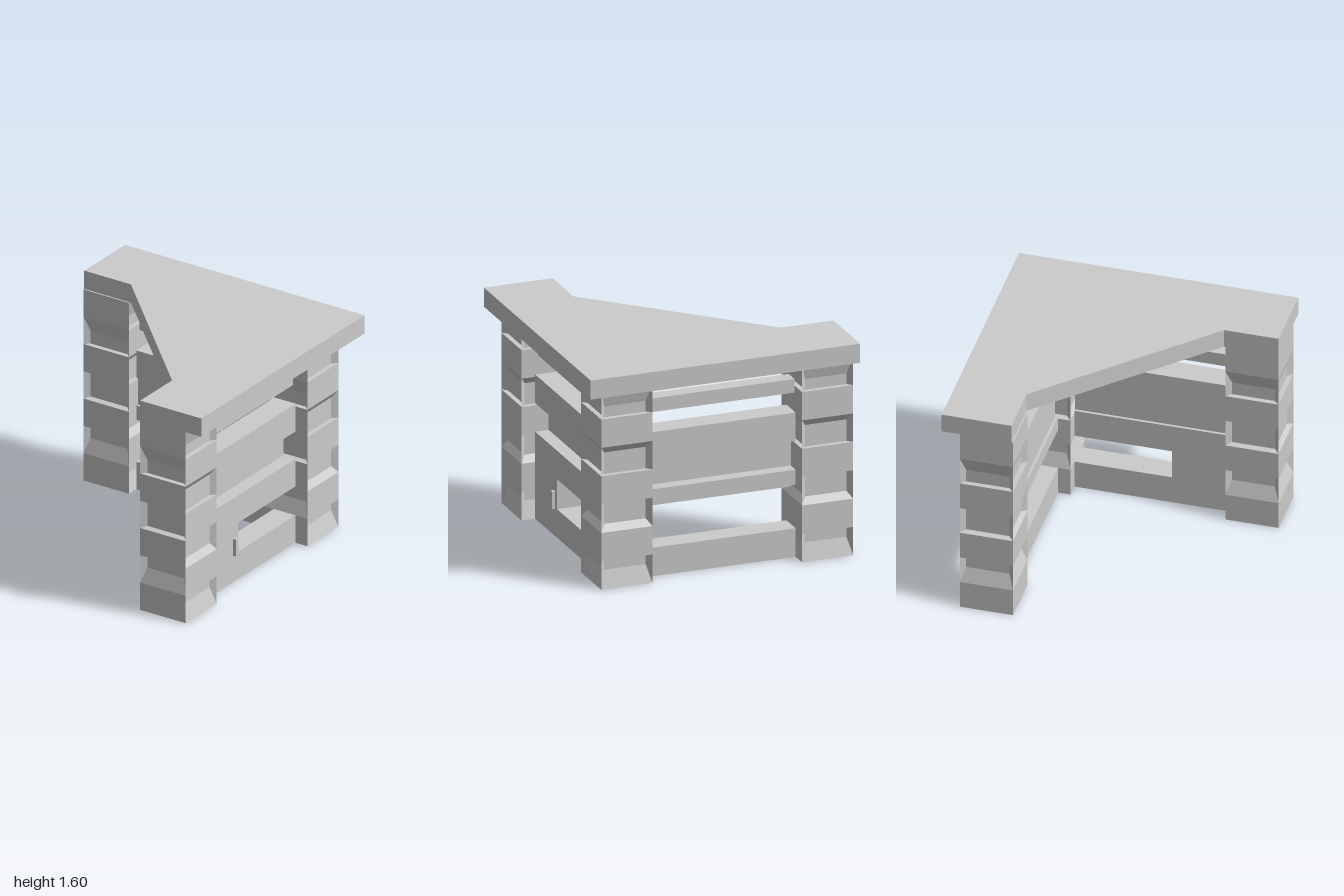
import * as THREE from 'three';

const mat = new THREE.MeshStandardMaterial({ color: 0xcccccc, flatShading: true });
const W = 0.19;       // half width of a post
const H = 1.46;       // height of a post
const L = H / 7;      // height of one course
const D = 0.036;      // depth of the recesses

// One post side: plain courses alternating with recesses that have bevelled frames
function postSide(out, angle, recesses) {
  const c = Math.cos(angle), s = Math.sin(angle);
  const put = (u, y, d) => {
    const z = W - d;
    out.push(u * c + z * s, y, -u * s + z * c);
  };
  const quad = (a, b, e, f) => [a, b, e, a, e, f].forEach((p) => put(...p));
  for (let i = 0; i < 7; i++) {
    const y0 = i * L, y1 = y0 + L;
    const o = [[-W, y0, 0], [W, y0, 0], [W, y1, 0], [-W, y1, 0]];
    const r = recesses[i];
    if (!r) {
      quad(...o);
      continue;
    }
    const w = W - D, b = y0 + r[0], t = y1 - r[1];
    const n = [[-w, b, D], [w, b, D], [w, t, D], [-w, t, D]];
    quad(...n);
    for (let k = 0; k < 4; k++) {
      const j = (k + 1) % 4;
      quad(o[k], o[j], n[j], n[k]);
    }
  }
}

function postGeometry() {
  // course index -> height of the lower and upper bevel
  const even = { 0: [0.13, 0], 2: [0.05, 0], 4: [0, 0.05], 6: [0, 0.13] };
  const odd = { 1: [0.11, 0], 3: [0.012, 0.012], 5: [0, 0.11] };
  const p = [];
  postSide(p, 0, odd);
  postSide(p, Math.PI / 2, even);
  postSide(p, Math.PI, even);
  postSide(p, -Math.PI / 2, odd);
  // bottom and top caps
  p.push(-W, 0, -W, W, 0, -W, W, 0, W, -W, 0, -W, W, 0, W, -W, 0, W);
  p.push(-W, H, -W, W, H, W, W, H, -W, -W, H, -W, -W, H, W, W, H, W);
  const g = new THREE.BufferGeometry();
  g.setAttribute('position', new THREE.Float32BufferAttribute(p, 3));
  g.computeVertexNormals();
  return g;
}

export function createModel() {
  const model = new THREE.Group();

  const add = (name, geometry, parent = model) => {
    const mesh = new THREE.Mesh(geometry, mat);
    mesh.name = name;
    parent.add(mesh);
    return mesh;
  };
  const box = (name, x0, x1, y0, y1, z0, z1, parent) =>
    add(name, new THREE.BoxGeometry(x1 - x0, y1 - y0, z1 - z0), parent)
      .position.set((x0 + x1) / 2, (y0 + y1) / 2, (z0 + z1) / 2);

  // Roof slab with the diagonal cut
  const outline = [[-1, -1], [1, -1], [1, 1], [0.49, 1], [0.49, 0.61], [-0.61, -0.5], [-1, -0.5]];
  const shape = new THREE.Shape(outline.map(([x, z]) => new THREE.Vector2(x, -z)));
  const slab = new THREE.ExtrudeGeometry(shape, { depth: 0.14, bevelEnabled: false });
  slab.rotateX(-Math.PI / 2);
  add('roof', slab).position.y = H;

  // Three posts
  const post = postGeometry();
  [['leftPost', -0.81, -0.68], ['cornerPost', 0.68, -0.68], ['frontPost', 0.68, 0.81]]
    .forEach(([name, x, z]) => add(name, post).position.set(x, 0, z));

  // Back wall
  const back = new THREE.Group();
  back.name = 'backWall';
  model.add(back);
  const backRail = (name, y0, y1, z0 = -0.75, z1 = -0.58, x0 = -0.62, x1 = 0.49) =>
    box(name, x0, x1, y0, y1, z0, z1, back);
  backRail('bottomRail', 0, 0.21);
  backRail('lowerRail', 0.53, 0.64);
  backRail('innerBoard', 0.64, 0.85, -0.66, -0.6);
  backRail('upperRail', 0.85, 1.06);
  backRail('topSlat', 1.2, 1.3, -0.73, -0.62);
  backRail('lowerStrip', 0.51, 0.53, -0.72, -0.61, -0.59, 0.46);

  // Side wall
  const side = new THREE.Group();
  side.name = 'sideWall';
  model.add(side);
  const sideRail = (name, y0, y1, x0 = 0.59, x1 = 0.77, z0 = -0.49, z1 = 0.62) =>
    box(name, x0, x1, y0, y1, z0, z1, side);
  sideRail('bottomRail', 0, 0.21);
  sideRail('doorPanel', 0.21, 0.43, 0.59, 0.77, 0.21, 0.62);
  sideRail('lowerRail', 0.43, 0.64);
  sideRail('innerBoard', 0.64, 0.85, 0.61, 0.67);
  sideRail('upperRail', 0.85, 1.06);
  sideRail('topSlat', 1.2, 1.3, 0.62, 0.75);
  sideRail('upperStrip', 0.83, 0.85, 0.62, 0.74, -0.46, 0.59);
  sideRail('lowerStrip', 0.41, 0.43, 0.62, 0.74, -0.47, 0.13);
  sideRail('handle', 0.2, 0.33, 0.76, 0.795, 0.245, 0.272);

  return model;
}
